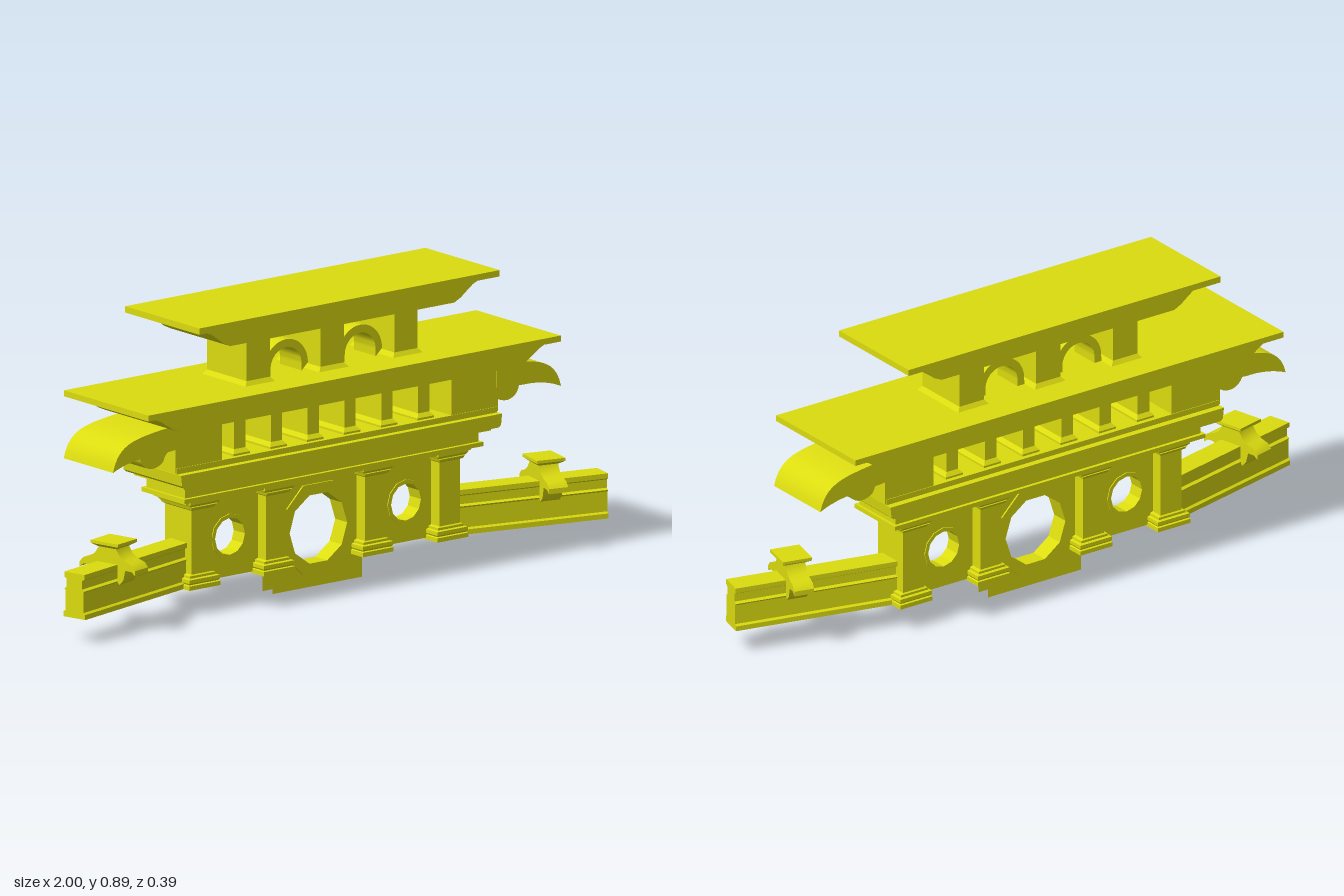
import * as THREE from 'three';
import { toCreasedNormals } from 'three/addons/utils/BufferGeometryUtils.js';

const yellow = new THREE.MeshStandardMaterial({ color: 0xdcdc10, side: THREE.DoubleSide });
yellow.name = 'yellow';

function add(parent, name, geometry, x = 0, y = 0, z = 0) {
  const mesh = new THREE.Mesh(geometry, yellow);
  mesh.name = name;
  mesh.position.set(x, y, z);
  parent.add(mesh);
  return mesh;
}

// Stack of rectangles, rows of [y, half width, half depth], from the bottom up
function loft(rows, bottom = true) {
  const pos = [];
  const rings = rows.map(([y, w, d]) => [[-w, y, d], [w, y, d], [w, y, -d], [-w, y, -d]]);
  const quad = (a, b, c, d) => pos.push(...a, ...b, ...c, ...a, ...c, ...d);
  for (let i = 0; i < rings.length - 1; i++) {
    for (let j = 0; j < 4; j++) {
      const k = (j + 1) % 4;
      quad(rings[i][j], rings[i][k], rings[i + 1][k], rings[i + 1][j]);
    }
  }
  quad(...rings[rings.length - 1]);
  if (bottom) quad(...[...rings[0]].reverse());
  const g = new THREE.BufferGeometry();
  g.setAttribute('position', new THREE.Float32BufferAttribute(pos, 3));
  g.computeVertexNormals();
  return g;
}

// Extrusion centred on z = 0
function slab(shape, depth, crease = 0.6) {
  const g = new THREE.ExtrudeGeometry(shape, { depth, bevelEnabled: false, curveSegments: 10 });
  g.translate(0, 0, -depth / 2);
  return toCreasedNormals(g, crease);
}

function polygon(cx, cy, r, sides, turn = 0) {
  return Array.from({ length: sides }, (_, i) => {
    const a = turn + (i / sides) * Math.PI * 2;
    return new THREE.Vector2(cx + r * Math.cos(a), cy + r * Math.sin(a));
  });
}

const vec = (list) => list.map(([x, y]) => new THREE.Vector2(x, y));

// Frame around a round opening
function ringFrame(outer, inner, depth) {
  const s = new THREE.Shape(outer);
  s.holes.push(new THREE.Path(inner));
  return slab(s, depth, 0.1);
}

function lowerStorey(root) {
  const g = new THREE.Group();
  g.name = 'lowerStorey';
  root.add(g);

  // Thin front and back walls with three openings
  const wall = new THREE.Shape(vec([[-0.46, 0.08], [-0.168, 0.08], [-0.168, 0], [0.168, 0],
    [0.168, 0.08], [0.46, 0.08], [0.46, 0.34], [-0.46, 0.34]]));
  wall.holes.push(new THREE.Path(polygon(0, 0.174, 0.125, 10)));
  for (const s of [-1, 1]) wall.holes.push(new THREE.Path(polygon(s * 0.33, 0.2, 0.06, 12)));
  add(g, 'frontWall', new THREE.ShapeGeometry(wall), 0, 0, 0.023);
  add(g, 'backWall', new THREE.ShapeGeometry(wall), 0, 0, -0.023).rotation.y = Math.PI;

  add(g, 'centreWindowFrame', ringFrame(
    polygon(0, 0, 0.146, 8, Math.PI / 8), polygon(0, 0, 0.108, 10), 0.056), 0, 0.174);
  for (const s of [-1, 1]) {
    add(g, 'sideWindowFrame', ringFrame(
      polygon(0, 0, 0.068, 12), polygon(0, 0, 0.056, 12), 0.052), s * 0.33, 0.2);
  }

  // Square columns, open underneath
  const column = loft([
    [0.075, 0.058, 0.077], [0.088, 0.058, 0.077], [0.09, 0.054, 0.071], [0.095, 0.057, 0.076],
    [0.106, 0.057, 0.076], [0.108, 0.048, 0.067], [0.115, 0.048, 0.067], [0.118, 0.038, 0.062],
    [0.31, 0.038, 0.062], [0.314, 0.044, 0.07], [0.322, 0.047, 0.074], [0.324, 0.052, 0.072],
    [0.332, 0.056, 0.079], [0.345, 0.056, 0.079]], false);
  for (const x of [-0.465, -0.185, 0.185, 0.465]) add(g, 'column', column, x);

  // Stepped cornice over the columns
  add(g, 'cornice', loft([
    [0.335, 0.535, 0.075], [0.347, 0.535, 0.075], [0.347, 0.56, 0.101], [0.36, 0.56, 0.101],
    [0.36, 0.55, 0.09], [0.395, 0.55, 0.09], [0.395, 0.575, 0.117], [0.405, 0.575, 0.117],
    [0.405, 0.59, 0.136], [0.412, 0.598, 0.136], [0.445, 0.602, 0.136]]));
}

function middleStorey(root) {
  const g = new THREE.Group();
  g.name = 'middleStorey';
  root.add(g);
  add(g, 'floorSill', loft([[0.44, 0.6, 0.115], [0.462, 0.6, 0.115]]));

  const post = loft([[0.46, 0.031, 0.1], [0.468, 0.031, 0.1], [0.48, 0.021, 0.09],
    [0.572, 0.021, 0.09], [0.582, 0.031, 0.1], [0.592, 0.031, 0.1]]);
  for (let i = 0; i < 6; i++) add(g, 'post', post, (i - 2.5) * 0.138);

  // Curled eave wing and the scroll below it
  const wing = new THREE.Shape();
  wing.moveTo(0.6, 0.592);
  wing.lineTo(0.66, 0.588);
  wing.bezierCurveTo(0.76, 0.575, 0.82, 0.57, 0.84, 0.487);
  wing.bezierCurveTo(0.8, 0.505, 0.75, 0.515, 0.7, 0.513);
  wing.lineTo(0.6, 0.52);
  const scroll = new THREE.Shape();
  scroll.moveTo(0.59, 0.53);
  scroll.lineTo(0.71, 0.515);
  scroll.bezierCurveTo(0.715, 0.475, 0.67, 0.45, 0.63, 0.475);
  scroll.bezierCurveTo(0.615, 0.485, 0.625, 0.505, 0.59, 0.51);
  const wingGeo = slab(wing, 0.23), scrollGeo = slab(scroll, 0.16);
  for (const s of [1, -1]) {
    add(g, 'endBlock', new THREE.BoxGeometry(0.175, 0.145, 0.226), s * 0.5175, 0.52);
    for (const [name, geo] of [['eaveWing', wingGeo], ['eaveScroll', scrollGeo]]) {
      add(g, name, geo).rotation.y = s > 0 ? 0 : Math.PI;
    }
  }

  add(g, 'lowerRoof', loft([
    [0.589, 0.635, 0.175], [0.6, 0.66, 0.175], [0.615, 0.685, 0.175], [0.632, 0.71, 0.175],
    [0.647, 0.745, 0.175], [0.647, 0.773, 0.197], [0.665, 0.773, 0.197]]));
}

function upperStorey(root) {
  const g = new THREE.Group();
  g.name = 'upperStorey';
  root.add(g);
  const pier = loft([[0.664, 0.056, 0.102], [0.678, 0.044, 0.092], [0.798, 0.044, 0.092],
    [0.802, 0.05, 0.096], [0.812, 0.052, 0.102]]);
  for (const x of [-0.277, 0, 0.277]) add(g, 'pier', pier, x);

  const arch = new THREE.Shape();
  arch.moveTo(0.083, 0);
  arch.absarc(0, 0.022, 0.082, 0, Math.PI, false);
  arch.lineTo(-0.083, 0);
  arch.lineTo(-0.058, 0);
  arch.absarc(0, 0.022, 0.058, Math.PI, 0, true);
  arch.lineTo(0.058, 0);
  const archGeo = slab(arch, 0.1);
  for (const s of [-1, 1]) add(g, 'arch', archGeo, s * 0.139, 0.664);

  add(g, 'upperRoof', loft([
    [0.808, 0.42, 0.139], [0.82, 0.445, 0.139], [0.835, 0.465, 0.139], [0.853, 0.49, 0.139],
    [0.871, 0.535, 0.139], [0.871, 0.563, 0.173], [0.89, 0.563, 0.173]]));
}

function sideWalls(root) {
  const h = 0.26;
  const wallGeo = loft([[0.075, h, 0.04], [0.09, h, 0.04], [0.095, h, 0.033], [0.155, h, 0.033],
    [0.16, h, 0.037], [0.165, h, 0.028], [0.19, h, 0.028], [0.195, h, 0.037], [0.21, h, 0.037]], false);

  // Bell-shaped saddle with hooked arms, drawn across the wall
  const half = [[0.03, 0.266], [0.034, 0.252], [0.046, 0.234], [0.066, 0.222], [0.09, 0.214],
    [0.102, 0.2], [0.102, 0.185], [0.088, 0.195], [0.066, 0.196], [0.058, 0.165], [0.044, 0.15],
    [0.038, 0.155], [0.036, 0.21]];
  const saddle = new THREE.Shape(vec([...half, ...half.map(([x, y]) => [-x, y]).reverse()]));
  const saddleGeo = slab(saddle, 0.062).rotateY(Math.PI / 2);
  const capGeo = loft([[0.256, 0.032, 0.034], [0.266, 0.046, 0.05], [0.275, 0.046, 0.05]]);

  for (const s of [-1, 1]) {
    const g = new THREE.Group();
    g.name = s > 0 ? 'leftGardenWall' : 'rightGardenWall';
    g.position.set(s * 0.738, 0, 0.06);
    g.rotation.y = -s * 0.24;
    add(g, 'parapet', wallGeo);
    add(g, 'saddle', saddleGeo, s * 0.07);
    add(g, 'saddleCap', capGeo, s * 0.07);
    root.add(g);
  }
}

export function createModel() {
  const root = new THREE.Group();
  root.name = 'gateway';
  lowerStorey(root);
  middleStorey(root);
  upperStorey(root);
  sideWalls(root);
  return root;
}
